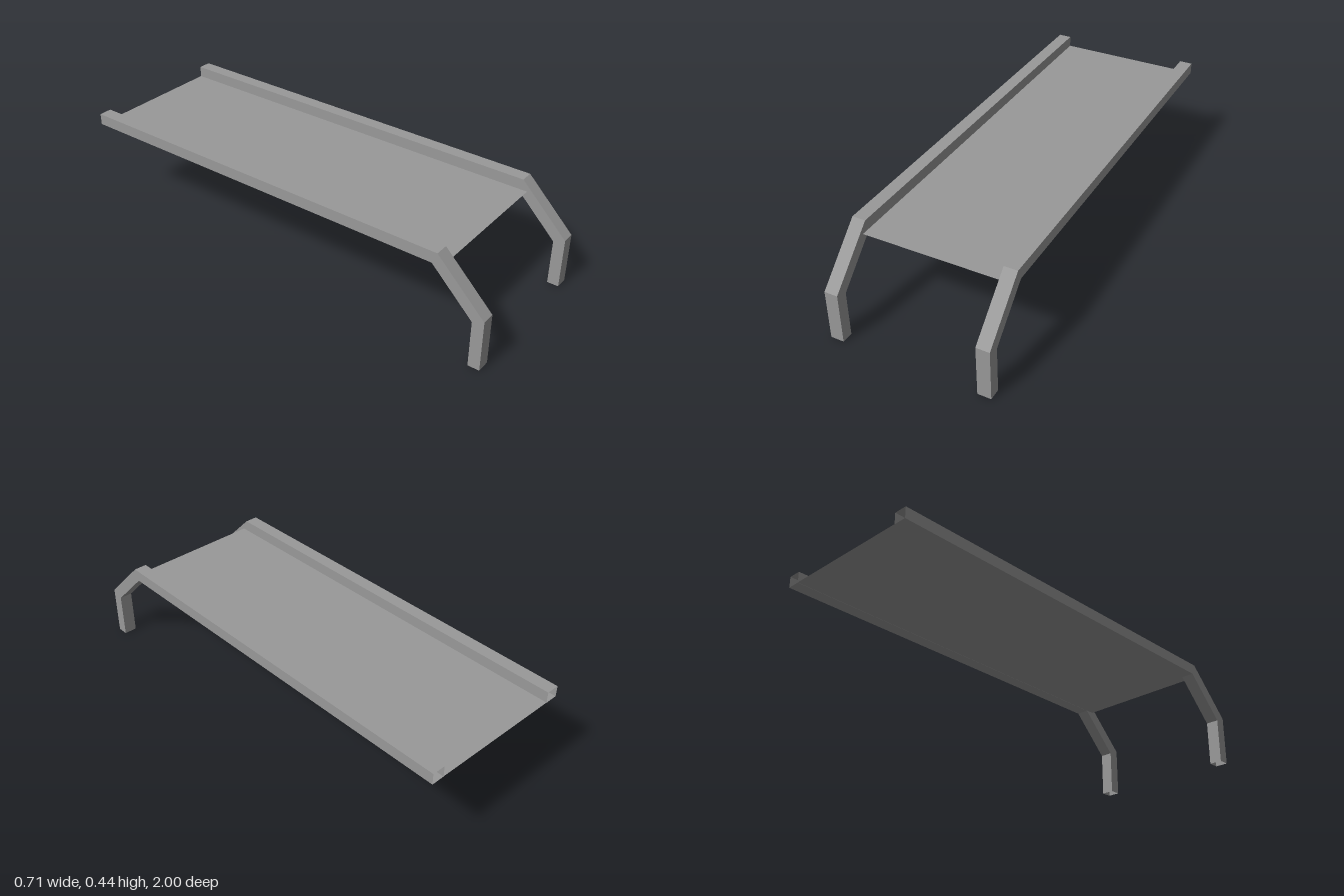
import * as THREE from 'three';

// Side profile stations: [outer z, outer y, inner z, inner y], foot to rear end
const STATIONS = [
  [1, 0, 0.95, 0],
  [1, 0.226, 0.95, 0.205],
  [0.788, 0.438, 0.767, 0.388],
  [-1, 0.438, -1, 0.388],
];
const RAIL_X = 0.325;
const HALF_WIDTH = 0.029;

// Hollow, open-ended square tube swept along the stations
function railGeometry(cx) {
  const a = cx + HALF_WIDTH, b = cx - HALF_WIDTH;
  const rings = STATIONS.map(([oz, oy, iz, iy]) => [
    [a, oy, oz], [b, oy, oz], [b, iy, iz], [a, iy, iz],
  ]);
  const pos = [];
  for (let i = 0; i < rings.length - 1; i++) {
    for (let k = 0; k < 4; k++) {
      const n = (k + 1) % 4;
      const p = rings[i][k], p2 = rings[i + 1][k];
      const q = rings[i][n], q2 = rings[i + 1][n];
      pos.push(...p, ...p2, ...q, ...p2, ...q2, ...q);
    }
  }
  const g = new THREE.BufferGeometry();
  g.setAttribute('position', new THREE.Float32BufferAttribute(pos, 3));
  g.computeVertexNormals();
  return g;
}

export function createModel() {
  const group = new THREE.Group();
  group.name = 'rampFrame';
  const grey = new THREE.MeshStandardMaterial({ color: 0x999999, side: THREE.DoubleSide });
  grey.name = 'grey';

  // Bent rails with front legs
  for (const [name, s] of [['leftRail', 1], ['rightRail', -1]]) {
    const rail = new THREE.Mesh(railGeometry(s * RAIL_X), grey);
    rail.name = name;
    group.add(rail);
  }

  // Thin deck sheet between the lower edges of the rails
  const deckGeometry = new THREE.PlaneGeometry(2 * (RAIL_X - HALF_WIDTH), 1.81);
  deckGeometry.rotateX(-Math.PI / 2);
  const deck = new THREE.Mesh(deckGeometry, grey);
  deck.name = 'deck';
  deck.position.set(0, 0.389, -0.095);
  group.add(deck);

  return group;
}
